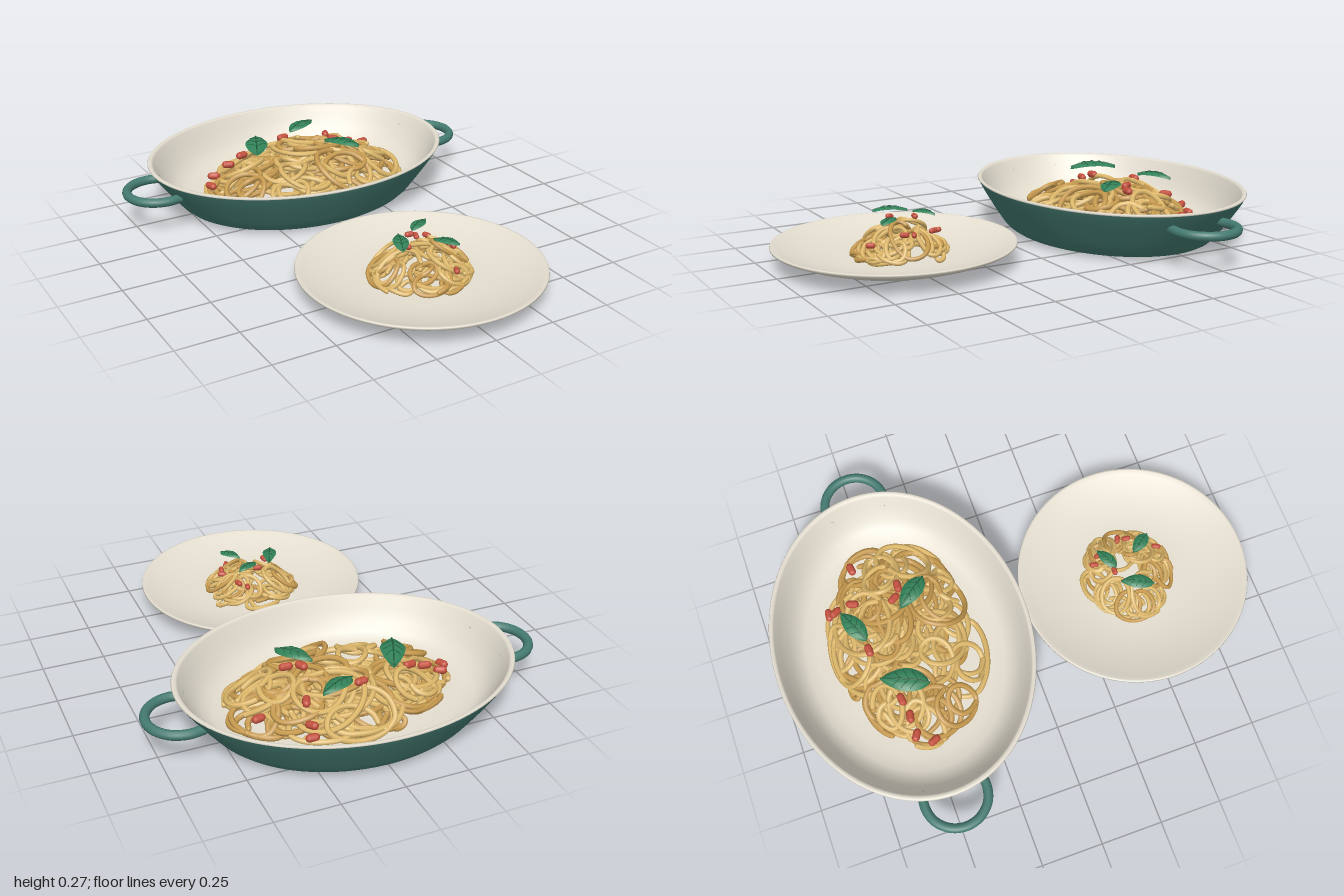
import * as THREE from 'three';
import { mergeGeometries } from 'three/addons/utils/BufferGeometryUtils.js';

const mat = (name, color, side = THREE.FrontSide) => {
  const m = new THREE.MeshStandardMaterial({ color, side });
  m.name = name;
  return m;
};
const cream = mat('cream glaze', 0xe4ded0);
const teal = mat('teal enamel', 0x447a70);
const pastaLight = mat('light pasta', 0xe0ba6c);
const pastaDark = mat('golden pasta', 0xc99c50);
const red = mat('red morsel', 0xc4503e);
const leafGreen = mat('leaf green', 0x328259, THREE.DoubleSide);
const veinGreen = mat('leaf vein', 0x22603f);

function seeded(seed) {
  return () => {
    seed = (seed * 1664525 + 1013904223) % 4294967296;
    return seed / 4294967296;
  };
}

function add(parent, name, geometry, material) {
  const mesh = new THREE.Mesh(geometry, material);
  mesh.name = name;
  parent.add(mesh);
  return mesh;
}

// Turned profile, stretched into an ellipse; listed from the underside out, up and back in
function turned(points, sx = 1, sz = 1) {
  const g = new THREE.LatheGeometry(points.map(([r, y]) => new THREE.Vector2(r, y)), 96);
  return g.scale(sx, 1, sz);
}

function makeDish() {
  const dish = new THREE.Group();
  dish.name = 'ovalDish';
  const rx = 0.665, rz = 0.517;
  add(dish, 'dishBase', turned([[0, 0.006], [0.63, 0.006]], rx, rz), teal);
  add(dish, 'footRing', turned([[0.615, 0.006], [0.62, 0], [0.695, 0], [0.705, 0.002]], rx, rz), cream);
  add(dish, 'dishWall', turned([[0.7, 0.001], [0.735, 0.006], [0.77, 0.018], [0.805, 0.038],
    [0.84, 0.066], [0.89, 0.108], [0.94, 0.152], [0.98, 0.19], [0.993, 0.206]], rx, rz), teal);
  add(dish, 'dishLining', turned([[0.993, 0.206], [1, 0.21], [0.994, 0.215], [0.975, 0.215], [0.962, 0.207],
    [0.93, 0.165], [0.88, 0.115], [0.83, 0.08], [0.77, 0.058], [0.68, 0.047], [0.55, 0.043], [0, 0.042]], rx, rz), cream);
  // Loop handles
  for (const s of [-1, 1]) {
    const path = new THREE.CatmullRomCurve3([[0.6, -0.118], [0.66, -0.126], [0.72, -0.108], [0.765, -0.06], [0.78, 0],
      [0.765, 0.06], [0.72, 0.108], [0.66, 0.126], [0.6, 0.118]].map(([x, z]) => new THREE.Vector3(s * x, 0.149, z)));
    add(dish, s > 0 ? 'leftHandle' : 'rightHandle', new THREE.TubeGeometry(path, 48, 0.019, 12), teal);
  }
  dish.position.z = -0.483;
  return dish;
}

function makePlate() {
  const plate = new THREE.Group();
  plate.name = 'plate';
  add(plate, 'plateBody', turned([[0, 0.003], [0.23, 0.002], [0.25, 0], [0.27, 0.004], [0.34, 0.022], [0.42, 0.049],
    [0.47, 0.07], [0.48, 0.078], [0.478, 0.084], [0.47, 0.085], [0.455, 0.078], [0.4, 0.058], [0.33, 0.04],
    [0.26, 0.029], [0.2, 0.026], [0, 0.025]]), cream);
  plate.position.z = 0.518;
  return plate;
}

// Pointed, arched leaf running along z with raised veins
function makeLeaf(from, to, y, width) {
  const leaf = new THREE.Group();
  leaf.name = 'basilLeaf';
  const dx = to[0] - from[0], dz = to[1] - from[1], len = Math.hypot(dx, dz);
  const half = t => width / 2 * Math.pow(Math.sin(Math.PI * Math.pow(t, 0.85)), 0.8);
  const height = (u, t) => 0.1 * len * (1 - (2 * t - 1) ** 2) + width * (0.1 * Math.abs(u) - 0.22 * u * u);
  const point = (u, t, lift = 0) =>
    new THREE.Vector3(u * half(Math.min(1, Math.max(0, t))), height(u, t) + lift, (t - 0.5) * len);
  const blade = new THREE.PlaneGeometry(2, 1, 8, 14).rotateX(-Math.PI / 2);
  const p = blade.attributes.position;
  for (let i = 0; i < p.count; i++) {
    const v = point(p.getX(i), p.getZ(i) + 0.5);
    p.setXYZ(i, v.x, v.y, v.z);
  }
  blade.computeVertexNormals();
  add(leaf, 'leafBlade', blade, leafGreen);
  const vein = (pts, r) => new THREE.TubeGeometry(new THREE.CatmullRomCurve3(pts), 8, r, 5);
  const veins = [vein([0, 0.3, 0.7, 1].map(t => point(0, t, 0.001)), width * 0.03)];
  for (const t of [0.22, 0.4, 0.58]) for (const s of [-1, 1])
    veins.push(vein([point(0, t, 0.001), point(s * 0.4, t + 0.08, 0.001), point(s * 0.8, t + 0.15, 0.001)], width * 0.016));
  add(leaf, 'leafVeins', mergeGeometries(veins), veinGreen);
  leaf.position.set((from[0] + to[0]) / 2, y, (from[1] + to[1]) / 2);
  leaf.rotation.y = Math.atan2(dx, dz);
  return leaf;
}

// Heap of looping strands under a dome, topped with morsels and leaves
function makePasta(o) {
  const heap = new THREE.Group();
  heap.name = o.name;
  const rand = seeded(o.seed);
  const range = (a, b) => a + (b - a) * rand();
  const dome = rho => o.height * Math.max(0, 1 - Math.pow(rho, o.power));
  const batches = [[], []];
  for (let i = 0; i < o.count; i++) {
    const a = range(0, 2 * Math.PI), d = o.hole + (0.8 - o.hole) * Math.sqrt(rand());
    const cx = Math.cos(a) * d, cz = Math.sin(a) * d;
    const r = range(...o.loop), start = range(0, 6.28), turns = range(0.9, 1.9) * (rand() < 0.5 ? -1 : 1);
    const squash = range(0.65, 1), driftX = range(-0.12, 0.12), driftZ = range(-0.12, 0.12);
    const layer = 0.12 + 0.88 * (i / o.count), phase = range(0, 6.28);
    const pts = [];
    for (let k = 0; k <= 18; k++) {
      const t = k / 18, ang = start + turns * 2 * Math.PI * t;
      const rr = r * (1 + 0.3 * Math.sin(3.7 * t * turns + phase));
      let x = cx + driftX * (t * 2 - 1) + rr * Math.cos(ang) / o.rx;
      let z = cz + driftZ * (t * 2 - 1) + rr * squash * Math.sin(ang) / o.rz;
      const rho = Math.hypot(x, z), soft = rho > 0.85 ? (0.85 + 0.15 * Math.tanh((rho - 0.85) / 0.3)) / rho : 1;
      x *= soft; z *= soft;
      const y = o.floor + layer * dome(rho * soft) + o.tube * (1 + 0.9 * Math.sin(ang * 1.7 + phase));
      pts.push(new THREE.Vector3(o.x + x * o.rx, Math.max(y, o.floor + o.tube), o.z + z * o.rz));
    }
    const batch = batches[rand() < 0.68 ? 0 : 1];
    batch.push(new THREE.TubeGeometry(new THREE.CatmullRomCurve3(pts), 60, o.tube, 6));
    for (const e of [pts[0], pts[18]])
      batch.push(new THREE.SphereGeometry(o.tube, 6, 4).translate(e.x, e.y, e.z));
  }
  add(heap, 'lightStrands', mergeGeometries(batches[0]), pastaLight);
  add(heap, 'goldenStrands', mergeGeometries(batches[1]), pastaDark);
  // Red morsels resting on the surface
  for (const [x, z] of o.bits) {
    const rho = Math.hypot((x - o.x) / o.rx, (z - o.z) / o.rz);
    const bit = add(heap, 'redMorsel', new THREE.CapsuleGeometry(o.bit, o.bit * 1.5, 4, 8), red);
    bit.position.set(x, o.floor + dome(rho) + o.tube * 2.4, z);
    bit.rotation.set(Math.PI / 2 + range(-0.3, 0.3), 0, range(0, Math.PI));
  }
  for (const [from, to, y, w] of o.leaves) heap.add(makeLeaf(from, to, y, w));
  return heap;
}

export function createModel() {
  const model = new THREE.Group();
  model.name = 'pastaServing';
  model.add(makeDish(), makePlate());
  model.add(makePasta({
    name: 'dishPasta', seed: 11, count: 66, x: 0.02, z: -0.465, rx: 0.485, rz: 0.325, floor: 0.043,
    height: 0.165, power: 2.6, tube: 0.0115, loop: [0.06, 0.13], hole: 0, bit: 0.0155,
    bits: [[0.24, -0.73], [0.23, -0.7], [0.22, -0.625], [-0.23, -0.56], [-0.3, -0.55], [-0.37, -0.55], [-0.41, -0.49],
      [0.39, -0.585], [0, -0.62], [0.17, -0.46], [0.22, -0.43]],
    leaves: [[[-0.215, -0.435], [-0.135, -0.615], 0.243, 0.095], [[0.035, -0.615], [0.18, -0.68], 0.238, 0.075],
      [[0.22, -0.32], [0.12, -0.45], 0.234, 0.08]],
  }));
  model.add(makePasta({
    name: 'platePasta', seed: 5, count: 34, x: 0.015, z: 0.495, rx: 0.215, rz: 0.21, floor: 0.026,
    height: 0.145, power: 1.7, tube: 0.009, loop: [0.035, 0.075], hole: 0.25, bit: 0.011,
    bits: [[0.07, 0.37], [0.1, 0.4], [0.13, 0.535], [0.07, 0.65], [-0.06, 0.51], [0, 0.43], [0.14, 0.5]],
    leaves: [[[-0.11, 0.56], [-0.055, 0.435], 0.188, 0.06], [[0.005, 0.44], [0.1, 0.39], 0.195, 0.05],
      [[0.105, 0.615], [0.045, 0.53], 0.184, 0.055]],
  }));
  return model;
}
